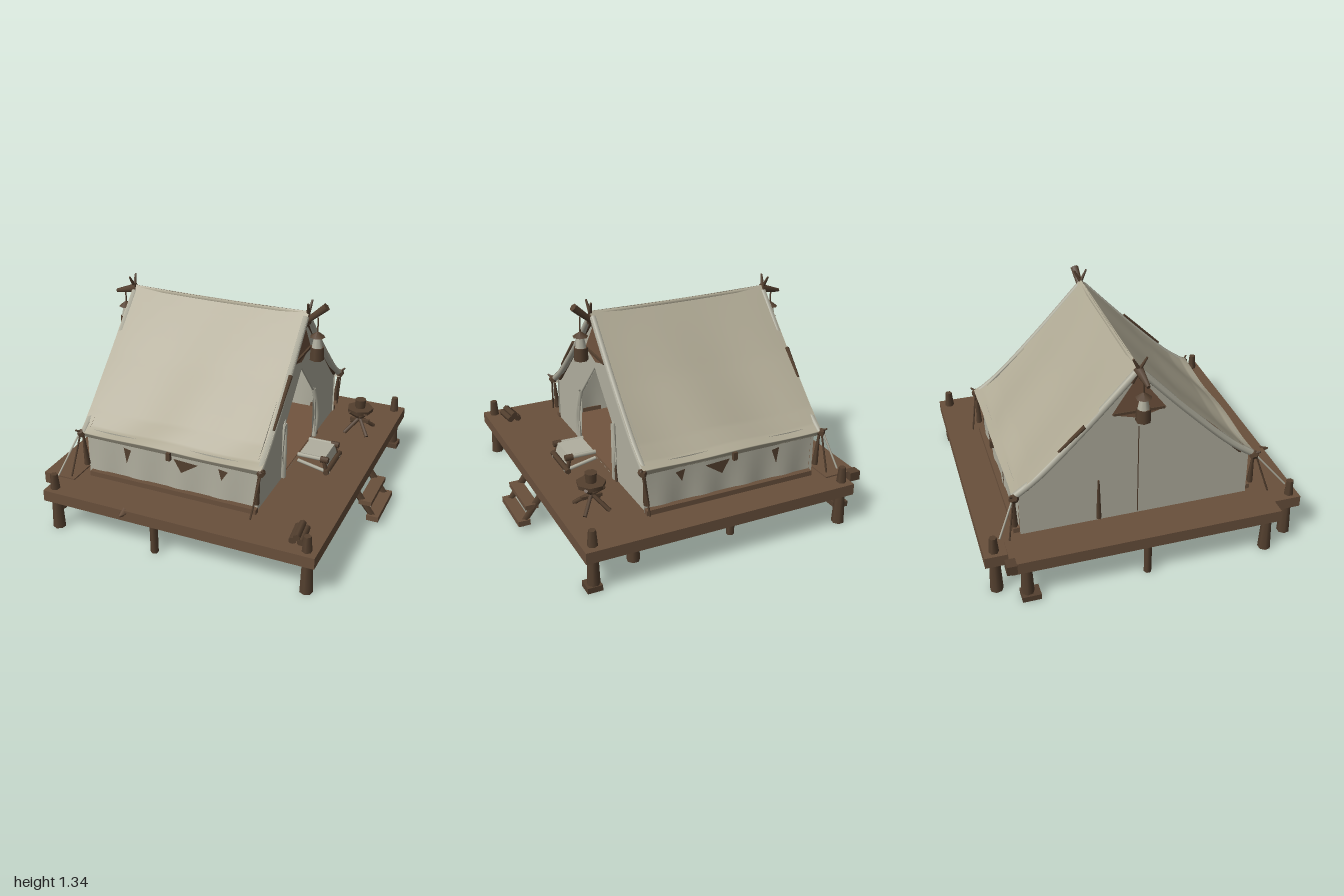
import * as THREE from 'three';
import { ParametricGeometry } from 'three/addons/geometries/ParametricGeometry.js';

const mat = (name, color, side = THREE.DoubleSide) => {
  const m = new THREE.MeshStandardMaterial({ color, side });
  m.name = name;
  return m;
};

export function createModel() {
  const root = new THREE.Group();
  root.name = 'tentOnDeck';
  const wood = mat('deck wood', 0x69503c);
  const dark = mat('dark wood', 0x54402f);
  const canvas = mat('canvas', 0xaea893);
  const pale = mat('pale canvas', 0xb1af9f);
  const lining = mat('inner lining', 0x72553f);

  const V = (x, y, z) => new THREE.Vector3(x, y, z);
  const add = (name, geo, m, x = 0, y = 0, z = 0, parent = root) => {
    const mesh = new THREE.Mesh(geo, m);
    mesh.name = name;
    mesh.position.set(x, y, z);
    parent.add(mesh);
    return mesh;
  };
  const box = (name, m, x0, x1, y0, y1, z0, z1) =>
    add(name, new THREE.BoxGeometry(x1 - x0, y1 - y0, z1 - z0), m, (x0 + x1) / 2, (y0 + y1) / 2, (z0 + z1) / 2);
  // Straight pole between two points
  const pole = (name, m, a, b, r0, r1 = r0, sides = 6) => {
    const d = b.clone().sub(a);
    const mesh = add(name, new THREE.CylinderGeometry(r1, r0, d.length(), sides), m);
    mesh.position.copy(a).addScaledVector(d, 0.5);
    mesh.quaternion.setFromUnitVectors(V(0, 1, 0), d.normalize());
    return mesh;
  };
  const tube = (name, m, pts, r) =>
    add(name, new THREE.TubeGeometry(new THREE.CatmullRomCurve3(pts), 16, r, 6), m);
  // Flat panel drawn as [z, y] points, facing +x
  const shapeZY = (pts) => new THREE.Shape(pts.map(([z, y]) => new THREE.Vector2(-z, y)));
  const panel = (name, m, pts, x, hole) => {
    const s = shapeZY(pts);
    if (hole) s.holes.push(shapeZY(hole));
    return add(name, new THREE.ShapeGeometry(s).rotateY(Math.PI / 2), m, x);
  };

  // Deck, side plank, splintered board and base trim
  box('deck', wood, -0.87, 0.862, 0.217, 0.288, -0.982, 0.955);
  box('sidePlank', wood, -0.975, -0.76, 0.222, 0.296, -0.85, 0.78);
  box('plankEnd', dark, -0.99, -0.92, 0.24, 0.298, -0.88, -0.82);
  pole('splinter', wood, V(-0.32, 0.27, 0.94), V(-0.32, 0.272, 1.0), 0.03, 0.006, 4);
  for (const z of [0.655, -0.78]) box('baseTrim', wood, -0.7, 0.41, 0.285, 0.32, z, z + 0.035);

  // Legs, with small feet at the back corners
  const legs = [[-0.82, 0.89], [0.8, 0.89], [-0.82, -0.92], [0.8, -0.92], [-0.93, 0.71], [-0.93, -0.76], [0.49, -0.76]];
  for (const [x, z] of legs) pole('leg', dark, V(x, 0.01, z), V(x, 0.225, z), 0.04, 0.031, 7);
  for (const [x, z] of [[-0.15, 0.9], [-0.93, -0.04], [-0.15, -0.76]])
    pole('middleLeg', dark, V(x, 0.01, z), V(x, 0.23, z), 0.024);
  box('foot', dark, -0.98, -0.89, 0.01, 0.045, -0.8, -0.69);
  box('foot', dark, 0.76, 0.85, 0.01, 0.045, -0.96, -0.87);

  // Corner stubs above the deck with guy ropes
  for (const x of [-0.82, 0.8]) for (const z of [-0.92, 0.9])
    pole('cornerPost', dark, V(x, 0.28, z), V(x, 0.385, z), 0.031, 0.022);
  for (const x of [-0.75, 0.44]) for (const [z, e] of [[0.69, 0.775], [-0.78, -0.82]])
    pole('guyRope', dark, V(x, 0.57, z), V(x - 0.03, 0.31, e), 0.006);
  for (const [z, e] of [[0.7, 0.87], [-0.79, -0.88]]) pole('guyRope', pale, V(-0.76, 0.56, z), V(-0.81, 0.36, e), 0.006);

  // Sagging roof slopes with soft wrinkles, ending in a curled eave
  const prof = [[0, 1.29], [0.4, 0.98], [0.8, 0.69], [0.92, 0.615], [1, 0.585], [0.97, 0.545]];
  const slope = (s) => {
    const run = s > 0 ? 0.74 : 0.735;
    return new ParametricGeometry((u, v, t) => {
      const f = Math.min(v * 5, 4.9999), i = Math.floor(f), k = f - i;
      const z = prof[i][0] + (prof[i + 1][0] - prof[i][0]) * k;
      const y = prof[i][1] + (prof[i + 1][1] - prof[i][1]) * k;
      const w = 0.009 * Math.sin(u * 11 + v * 4) * Math.sin(v * Math.PI) - 0.008 * Math.sin(u * Math.PI) * (1 - v);
      t.set(-0.75 + 1.19 * u, y + w, -0.05 + s * z * run + s * w * 0.6);
    }, 24, 20);
  };
  add('frontRoof', slope(1), canvas);
  add('backRoof', slope(-1), canvas);
  pole('ridgeRoll', canvas, V(-0.75, 1.268, -0.05), V(0.44, 1.268, -0.05), 0.015);

  // Side walls, gently rippled
  for (const z0 of [0.655, -0.745]) {
    add('sideWall', new ParametricGeometry((u, v, t) => {
      t.set(-0.72 + 1.13 * u, 0.285 + 0.315 * v, z0 + 0.008 * Math.sin(u * 26) * (1 - v));
    }, 32, 4), pale);
  }

  // Gables: open doorway on the +x end, closed at the other
  const outline = [[0.655, 0.286], [-0.745, 0.286], [-0.745, 0.6], [-0.4, 0.915], [-0.05, 1.265], [0.3, 0.915], [0.655, 0.6]];
  const door = [[0.25, 0.29], [0.22, 0.65], [-0.04, 0.92], [-0.3, 0.65], [-0.31, 0.29]];
  panel('doorGable', pale, outline, 0.4, door);
  panel('closedGable', pale, outline, -0.72);
  panel('innerLining', lining, outline, -0.7);
  box('tentFloor', lining, -0.7, 0.39, 0.285, 0.293, -0.74, 0.65);
  for (const s of [1, -1]) panel('liningFlap', pale, [[-0.04 + s * 0.04, 0.53], [-0.04 + s * 0.28, 0.66], [-0.04 + s * 0.27, 0.42]], -0.69);
  for (const x of [0.406, -0.726]) {
    panel('gableVent', lining, [[0.12, 1.0], [-0.04, 0.955], [-0.2, 1.0], [-0.05, 1.23]], x);
    box('ventBar', dark, x - 0.008, x + 0.012, 0.995, 1.01, -0.19, 0.11);
  }
  panel('closedDoorSeam', dark, [[-0.037, 0.3], [-0.043, 0.3], [-0.043, 0.9], [-0.037, 0.9]], -0.726);
  pole('closedDoorStrap', dark, V(-0.735, 0.31, -0.28), V(-0.735, 0.58, -0.28), 0.016, 0.006, 5);
  pole('doorStrap', dark, V(0.415, 0.3, -0.36), V(0.415, 0.52, -0.32), 0.009, 0.004, 5);

  // Door curtains gathered to each side, slim edges up to the peak and a valance
  for (const s of [1, -1]) {
    const c = (d) => -0.035 + s * d;
    tube('doorCurtain', pale, [V(0.412, 0.3, c(0.285)), V(0.42, 0.45, c(0.3)), V(0.415, 0.56, c(0.285)), V(0.405, 0.66, c(0.262))], 0.016);
    panel('curtainFold', pale, [[c(0.27), 0.3], [c(0.335), 0.46], [c(0.3), 0.66], [c(0.255), 0.66]], 0.42);
    pole('doorEdge', pale, V(0.402, 0.65, c(0.262)), V(0.402, 0.925, c(0.004)), 0.007);
    panel('valance', pale, [[c(0), 0.925], [c(0.265), 0.66], [c(0.29), 0.88], [c(0.22), 0.935], [c(0), 0.955]], 0.412);
  }

  // Rolled canvas rakes over rafters, corner knots and poles crossing at each peak
  for (const x of [-0.735, 0.425]) {
    const out = Math.sign(x);
    for (const [s, ze] of [[1, 0.68], [-1, -0.775]]) {
      const at = (k, y) => V(x, y, -0.05 + (ze + 0.05) * k);
      tube('rakeRoll', pale, [at(0.02, 1.255), at(0.42, 0.948), at(0.8, 0.68), at(1, 0.573)], 0.021);
      pole('rafter', dark, V(x - out * 0.012, 0.6, ze - s * 0.08), V(x - out * 0.012, 1.2, -0.05 + s * 0.05), 0.012);
      pole('peakPole', dark, V(x, 1.2, -0.05 + s * 0.04), V(x + out * 0.02, 1.35, -0.05 - s * 0.04), 0.018, 0.006);
      const knot = add('cornerKnot', new THREE.DodecahedronGeometry(0.026), dark, x + out * 0.012, 0.57, ze);
      knot.scale.set(1, 1.1, 1.2);
      pole('cornerPeg', dark, V(x + out * 0.01, 0.58, ze), V(x + out * 0.035, 0.6, ze + s * 0.03), 0.01, 0.005);
      pole('hangingStrap', dark, V(x, 0.55, ze), V(x - out * 0.015, 0.36, ze), 0.008, 0.02, 5);
    }
  }
  // Strips lying along two roof edges
  pole('rakeStrip', dark, V(0.438, 0.99, 0.24), V(0.434, 0.75, 0.49), 0.014, 0.008, 5);
  pole('rakeStrip', dark, V(-0.746, 0.97, -0.36), V(-0.742, 0.83, -0.51), 0.014, 0.008, 5);
  pole('lampArm', dark, V(0.42, 1.22, -0.05), V(0.545, 1.33, -0.06), 0.018, 0.026);
  pole('lampArm', dark, V(-0.73, 1.27, -0.05), V(-0.87, 1.235, -0.04), 0.03, 0.012);

  // Hanging lanterns
  for (const x of [0.5, -0.81]) {
    const lamp = new THREE.Group();
    lamp.name = 'lantern';
    lamp.position.set(x, 0, -0.045);
    root.add(lamp);
    add('lanternBase', new THREE.CylinderGeometry(0.042, 0.045, 0.08, 7), dark, 0, 1.03, 0, lamp);
    add('lanternGlass', new THREE.CylinderGeometry(0.02, 0.036, 0.08, 8), pale, 0, 1.105, 0, lamp);
    add('lanternCap', new THREE.ConeGeometry(0.048, 0.035, 7), dark, 0, 1.155, 0, lamp);
    add('lanternHook', new THREE.CylinderGeometry(0.005, 0.005, 0.1, 5), dark, 0, 1.21, 0, lamp);
  }

  // Small hanging ties under the eaves
  for (const [z, s] of [[0.69, 1], [-0.785, -1]]) {
    for (const [x, w, y] of [[-0.04, 0.08, 0.45], [0.2, 0.03, 0.46], [-0.43, 0.025, 0.43]]) {
      const tie = new THREE.Shape([[x - w, 0.535], [x - w * 0.4, y], [x + w, 0.525]].map(([a, b]) => new THREE.Vector2(a, b)));
      add('eaveTie', new THREE.ShapeGeometry(tie), dark, 0, 0, z - s * 0.01);
    }
    box('eaveToggle', dark, -0.16, -0.135, 0.525, 0.575, z - 0.012, z + 0.012);
  }

  // Steps
  for (const z of [0.1, -0.18]) pole('stringer', dark, V(0.84, 0.215, z), V(0.97, 0.04, z), 0.026, 0.02, 4);
  box('tread', wood, 0.865, 0.945, 0.145, 0.175, -0.2, 0.125);
  box('tread', wood, 0.92, 0.995, 0.045, 0.08, -0.205, 0.13);

  // Low canvas bench by the door
  box('benchSeat', pale, 0.46, 0.625, 0.375, 0.4, -0.1, 0.09);
  const sling = box('benchSling', pale, 0.625, 0.633, 0.34, 0.4, -0.1, 0.09);
  sling.rotation.z = 0.25;
  for (const z of [0.1, -0.11]) {
    pole('benchRail', pale, V(0.45, 0.392, z), V(0.6, 0.392, z), 0.013);
    pole('benchRailEnd', dark, V(0.6, 0.39, z), V(0.65, 0.39, z), 0.02);
    pole('benchLeg', pale, V(0.45, 0.35, z), V(0.66, 0.305, z), 0.011);
    pole('benchLeg', dark, V(0.62, 0.39, z), V(0.64, 0.3, z), 0.013);
  }
  pole('benchFoot', dark, V(0.645, 0.315, -0.15), V(0.645, 0.315, 0.13), 0.018);

  // Folding stool with a mug
  add('stoolTop', new THREE.CylinderGeometry(0.088, 0.085, 0.025, 7), dark, 0.655, 0.443, -0.55);
  for (let i = 0; i < 4; i++) {
    const a = Math.PI * (i / 2 + 0.25), c = Math.cos(a) * 0.11, d = Math.sin(a) * 0.125;
    pole('stoolLeg', dark, V(0.655 - c * 0.7, 0.44, -0.55 - d * 0.7), V(0.655 + c, 0.29, -0.55 + d), 0.013);
  }
  box('stoolBrace', dark, 0.59, 0.72, 0.35, 0.37, -0.56, -0.54);
  add('mug', new THREE.CylinderGeometry(0.038, 0.032, 0.06, 8), dark, 0.655, 0.485, -0.55);

  // Stacked firewood
  for (const [x, y] of [[0.685, 0.31], [0.735, 0.31], [0.71, 0.335]])
    pole('firewood', dark, V(x, y, 0.72), V(x + 0.015, y - 0.004, 0.87), 0.022);

  return root;
}
